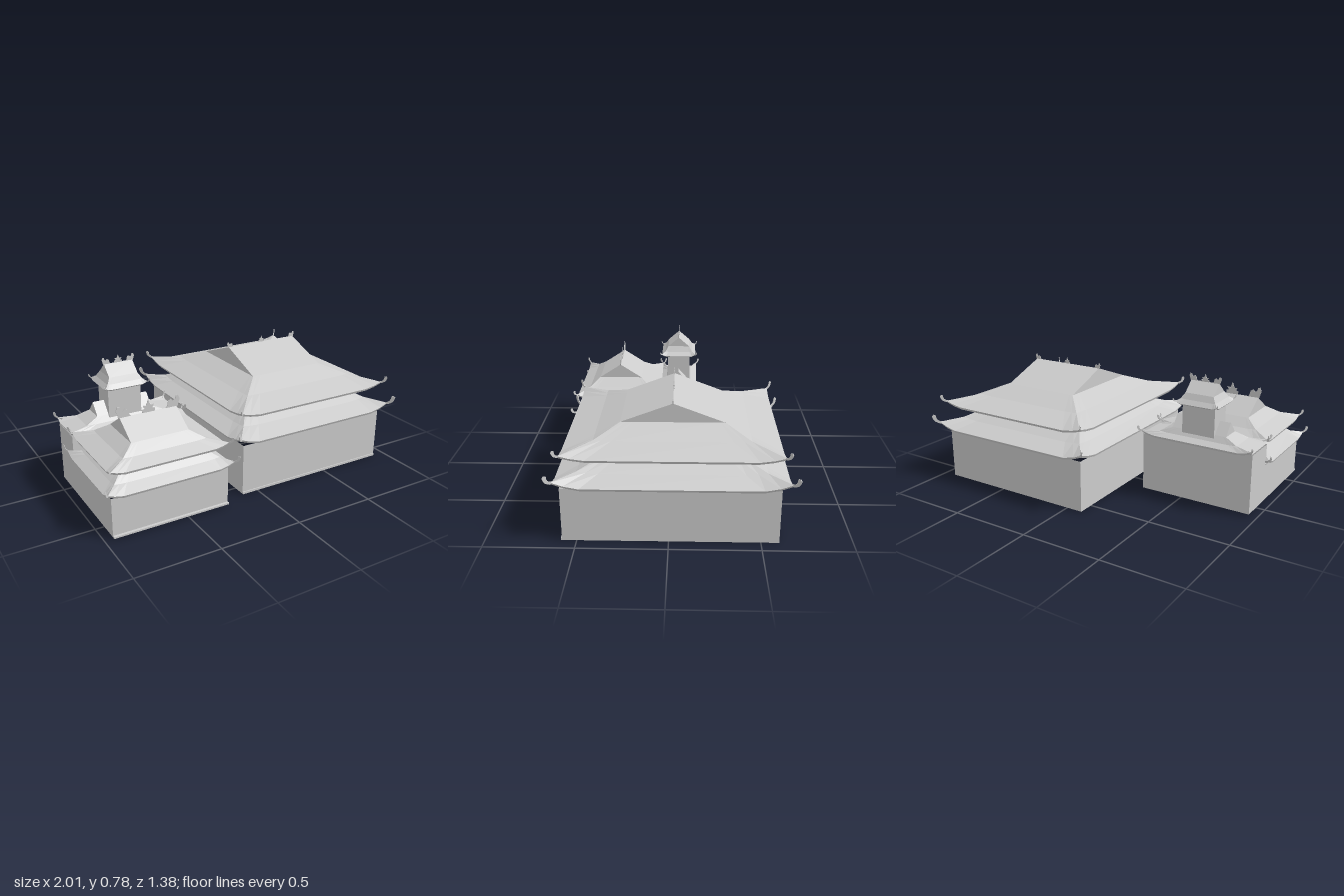
import * as THREE from 'three';

const material = new THREE.MeshStandardMaterial({
  color: 0xcccccc, flatShading: true, side: THREE.DoubleSide,
});

function add(parent, name, geometry, x = 0, y = 0, z = 0) {
  const mesh = new THREE.Mesh(geometry, material);
  mesh.name = name;
  mesh.position.set(x, y, z);
  parent.add(mesh);
  return mesh;
}

function facets(points) {
  const g = new THREE.BufferGeometry();
  g.setAttribute('position', new THREE.Float32BufferAttribute(points.flat(), 3));
  g.computeVertexNormals();
  return g;
}

const quad = (a, b, c, d) => [a, b, c, a, c, d];

// Rectangular ring whose corners sweep upwards; counterclockwise from above
const STEPS = [[-1, 1], [-0.9, 0.42], [-0.77, 0], [0.77, 0], [0.9, 0.42]];
function ring({ hx, hz, y, lift = 0 }) {
  const pts = [];
  for (let side = 0; side < 4; side++) {
    for (const [s, l] of STEPS) {
      const h = y + lift * l;
      pts.push([[s * hx, h, hz], [hx, h, -s * hz], [-s * hx, h, -hz], [-hx, h, s * hz]][side]);
    }
  }
  return pts;
}

function loft(sections) {
  const rings = sections.map(ring);
  const tris = [];
  for (let r = 0; r + 1 < rings.length; r++) {
    const a = rings[r], b = rings[r + 1], n = a.length;
    for (let i = 0; i < n; i++) {
      const j = (i + 1) % n;
      tris.push(...quad(a[i], a[j], b[j], b[i]));
    }
  }
  return tris;
}

// Two upper slopes and the two vertical gables
function gableTop({ hx, hz, y }, ridgeY) {
  const L = [-hx, ridgeY, 0], R = [hx, ridgeY, 0];
  const fl = [-hx, y, hz], fr = [hx, y, hz], bl = [-hx, y, -hz], br = [hx, y, -hz];
  return [...quad(fl, fr, R, L), ...quad(br, bl, L, R), fr, br, R, bl, fl, L];
}

function plate(points, size, depth) {
  const shape = new THREE.Shape(points.map(([x, y]) => new THREE.Vector2(x * size, y * size)));
  const g = new THREE.ExtrudeGeometry(shape, { depth, bevelEnabled: false });
  g.translate(0, 0, -depth / 2);
  return g;
}

// Upturned eave tip, pointing along +x
const TIP = [[-1.2, -0.12], [-0.7, -0.4], [-0.4, -0.25], [0.1, -0.2], [0.65, 0.1], [0.85, 0.4],
  [1, 0.8], [0.8, 1.05], [0.5, 0.95], [0.45, 0.6], [0.3, 0.3], [0, 0.1]];
// Ridge end, with its tail rising towards -x
const RIDGE_END = [[-0.1, 0], [-0.2, 0.35], [-0.3, 0.65], [-0.15, 1], [0.05, 0.95], [0.1, 0.7],
  [0.3, 0.55], [0.5, 0.75], [0.75, 0.6], [0.85, 0.2], [1, 0]];
// Half of the ridge centre crest, mirrored below
const CREST = [[0.55, 0], [0.6, 0.3], [0.35, 0.35], [0.5, 0.65], [0.22, 0.6], [0.12, 0.8]];
const CREST_FULL = [...CREST, [0, 1.15], ...CREST.map(([x, y]) => [-x, y]).reverse()];

function eaveTips(group, { hx, hz, y, lift }, size) {
  for (const sx of [-1, 1]) for (const sz of [-1, 1]) {
    const tip = add(group, 'eaveTip', plate(TIP, size, size * 0.12), sx * hx, y + lift, sz * hz);
    tip.rotation.y = Math.atan2(-sz, sx);
  }
}

// Roof from the eave inwards; a ridge height closes it as a hip-and-gable roof
function roof(parent, name, x, z, sections, { ridge, tip, lip = 0.014, ornament = 0 }) {
  const group = new THREE.Group();
  group.name = name;
  group.position.set(x, 0, z);
  parent.add(group);
  const eave = sections[0], top = sections[sections.length - 1];
  const under = { ...eave, hx: eave.hx - 0.006, hz: eave.hz - 0.006, y: eave.y - lip };
  const tris = loft([under, ...sections]);
  if (ridge) tris.push(...gableTop(top, ridge));
  add(group, 'roofSlopes', facets(tris));
  eaveTips(group, eave, tip);
  if (ornament) {
    for (const s of [-1, 1]) {
      const end = add(group, 'ridgeEnd', plate(RIDGE_END, ornament, 0.004), s * top.hx, ridge - 0.003, 0);
      if (s > 0) end.rotation.y = Math.PI;
    }
    add(group, 'ridgeCrest', plate(CREST_FULL, ornament, 0.004), 0, ridge - 0.003, 0);
  }
}

// Hollow walls, open above and below
function walls(parent, name, x, z, hx, hz, y0, y1) {
  add(parent, name, facets(loft([{ hx, hz, y: y0 }, { hx, hz, y: y1 }])), x, 0, z);
}

export function createModel() {
  const model = new THREE.Group();
  model.name = 'temple';

  // Great hall
  const hall = new THREE.Group();
  hall.name = 'greatHall';
  model.add(hall);
  const X = 0.413, Z = -0.018;
  walls(hall, 'hallWalls', 0.41, -0.01, 0.512, 0.59, 0, 0.315);
  add(hall, 'hallThreshold', new THREE.BoxGeometry(1.024, 0.014, 0.012), 0.41, 0.007, 0.58);
  roof(hall, 'hallLowerRoof', X, Z, [
    { hx: 0.555, hz: 0.632, y: 0.338, lift: 0.038 },
    { hx: 0.46, hz: 0.51, y: 0.381, lift: 0.012 },
    { hx: 0.376, hz: 0.396, y: 0.436 },
  ], { tip: 0.047 });
  walls(hall, 'hallUpperWalls', X, -0.012, 0.376, 0.396, 0.434, 0.482);
  roof(hall, 'hallUpperRoof', X, Z, [
    { hx: 0.522, hz: 0.593, y: 0.487, lift: 0.025 },
    { hx: 0.38, hz: 0.425, y: 0.536, lift: 0.004 },
    { hx: 0.252, hz: 0.288, y: 0.594 },
  ], { tip: 0.038, ridge: 0.703, ornament: 0.036 });

  // Front pavilion
  const pavilion = new THREE.Group();
  pavilion.name = 'frontPavilion';
  model.add(pavilion);
  const px = -0.598, pz = 0.37;
  add(pavilion, 'pavilionFrontWall', new THREE.PlaneGeometry(0.71, 0.233), px, 0.1285, 0.64);
  for (const s of [-1, 1]) {
    const side = add(pavilion, 'pavilionSideWall', new THREE.PlaneGeometry(0.55, 0.233), px + s * 0.355, 0.1285, 0.365);
    side.rotation.y = s * Math.PI / 2;
  }
  add(pavilion, 'pavilionStep', new THREE.BoxGeometry(0.71, 0.01, 0.03), px, 0.017, 0.642);
  roof(pavilion, 'pavilionLowerRoof', px, pz, [
    { hx: 0.382, hz: 0.3, y: 0.26, lift: 0.025 },
    { hx: 0.32, hz: 0.235, y: 0.295, lift: 0.006 },
    { hx: 0.262, hz: 0.18, y: 0.338 },
  ], { tip: 0.034 });
  walls(pavilion, 'pavilionUpperWalls', px, pz, 0.262, 0.18, 0.336, 0.378);
  roof(pavilion, 'pavilionUpperRoof', px, pz, [
    { hx: 0.354, hz: 0.283, y: 0.383, lift: 0.02 },
    { hx: 0.25, hz: 0.205, y: 0.42, lift: 0.004 },
    { hx: 0.174, hz: 0.143, y: 0.468 },
  ], { tip: 0.03, ridge: 0.56, ornament: 0.068 });

  // Rear wing
  const wing = new THREE.Group();
  wing.name = 'rearWing';
  model.add(wing);
  const wz = -0.032;
  add(wing, 'wingBackWall', new THREE.PlaneGeometry(0.71, 0.363), px, 0.1935, -0.13).rotation.y = Math.PI;
  add(wing, 'wingFrontWall', new THREE.PlaneGeometry(0.71, 0.13), px, 0.31, 0.09);
  for (const s of [-1, 1]) {
    const side = add(wing, 'wingSideWall', new THREE.PlaneGeometry(0.22, 0.363), px + s * 0.355, 0.1935, -0.02);
    side.rotation.y = s * Math.PI / 2;
  }
  roof(wing, 'wingRoof', px, wz, [
    { hx: 0.354, hz: 0.126, y: 0.383, lift: 0.02 },
    { hx: 0.25, hz: 0.088, y: 0.405, lift: 0.004 },
    { hx: 0.174, hz: 0.062, y: 0.44 },
  ], { tip: 0.03, ridge: 0.51 });

  // Tower above the rear wing
  const tower = new THREE.Group();
  tower.name = 'tower';
  model.add(tower);
  walls(tower, 'towerWalls', px, wz, 0.104, 0.075, 0.4, 0.608);
  roof(tower, 'towerRoof', px, wz, [
    { hx: 0.133, hz: 0.116, y: 0.61, lift: 0.012 },
    { hx: 0.11, hz: 0.092, y: 0.635, lift: 0.002 },
    { hx: 0.09, hz: 0.072, y: 0.67 },
  ], { tip: 0.017, ridge: 0.732, lip: 0.007, ornament: 0.042 });

  return model;
}
